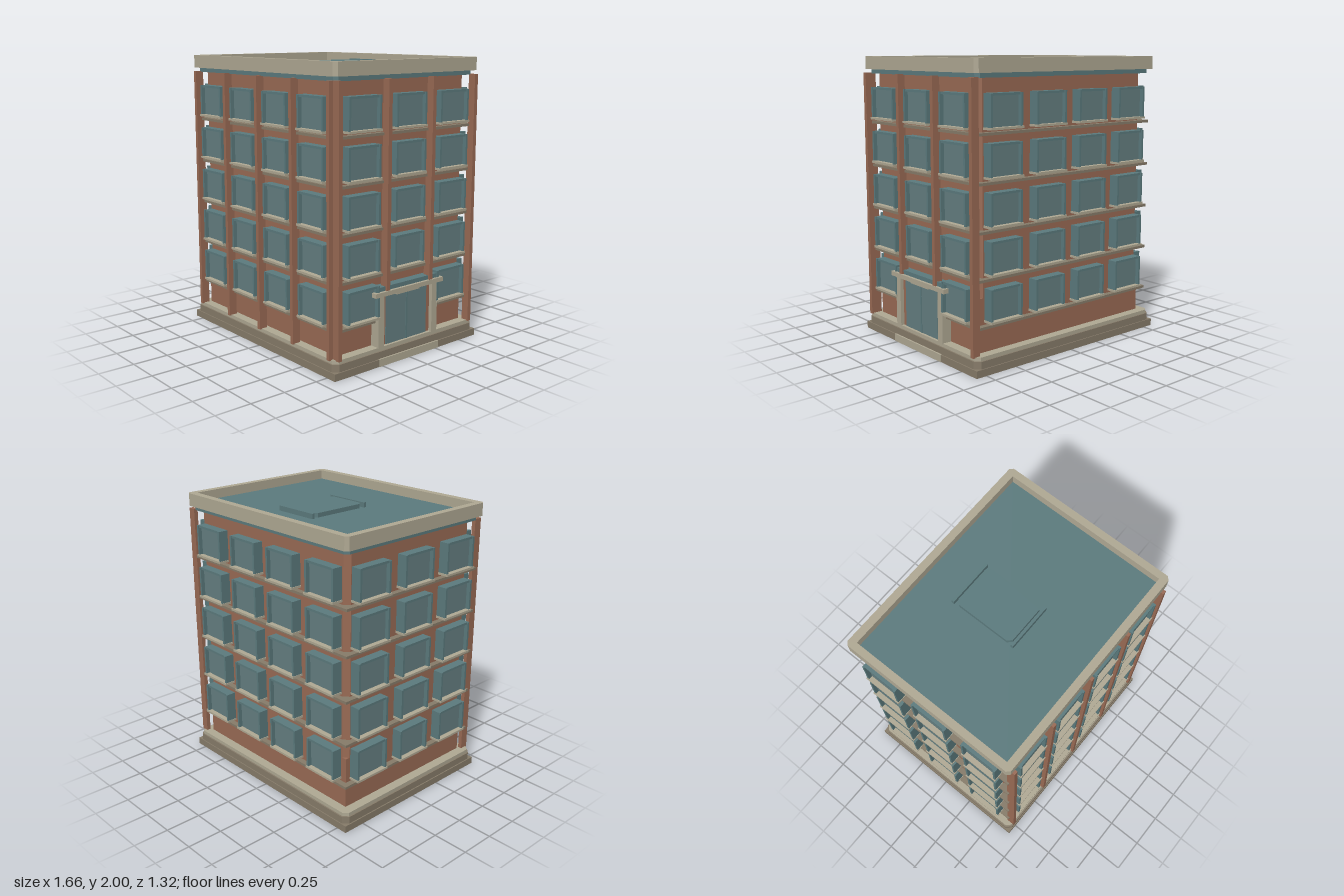
import * as THREE from 'three';

const mat = (name, color) => {
  const m = new THREE.MeshStandardMaterial({ color });
  m.name = name;
  return m;
};

export function createModel() {
  const brick = mat('brick', 0x9a6b55);
  const stone = mat('pale stone', 0xb0a994);
  const darkStone = mat('dark stone', 0x877c6a);
  const metal = mat('teal metal', 0x5c7b7e);
  const glass = mat('glass', 0x657f81);

  const model = new THREE.Group();
  model.name = 'building';

  const add = (parent, name, geometry, material) => {
    const mesh = new THREE.Mesh(geometry, material);
    mesh.name = name;
    parent.add(mesh);
    return mesh;
  };

  // Box given by its limits on each axis
  const box = (parent, name, material, [x0, x1], [y0, y1], [z0, z1]) => {
    const mesh = add(parent, name, new THREE.BoxGeometry(x1 - x0, y1 - y0, z1 - z0), material);
    mesh.position.set((x0 + x1) / 2, (y0 + y1) / 2, (z0 + z1) / 2);
    return mesh;
  };

  // Upright block with chamfered corners and an optional rectangular opening
  const block = (name, material, hx, hz, c, y0, y1, hole) => {
    const s = new THREE.Shape([
      [hx - c, -hz], [hx, c - hz], [hx, hz - c], [hx - c, hz],
      [c - hx, hz], [-hx, hz - c], [-hx, c - hz], [c - hx, -hz],
    ].map(([x, y]) => new THREE.Vector2(x, y)));
    if (hole) {
      const [a, b] = hole;
      s.holes.push(new THREE.Path([[-a, -b], [-a, b], [a, b], [a, -b]].map(([x, y]) => new THREE.Vector2(x, y))));
    }
    const g = new THREE.ExtrudeGeometry(s, { depth: y1 - y0, bevelEnabled: false });
    g.rotateX(-Math.PI / 2);
    g.translate(0, y0, 0);
    return add(model, name, g, material);
  };

  // Plinth
  box(model, 'plinthFoot', darkStone, [-0.83, 0.83], [0, 0.05], [-0.662, 0.662]);
  block('plinth', darkStone, 0.822, 0.655, 0.035, 0.05, 0.1);
  block('plinthCap', stone, 0.812, 0.645, 0.03, 0.1, 0.125);

  // Brick walls, square at the base and chamfered above
  const WX = 0.745, WZ = 0.58;
  box(model, 'lowerWalls', brick, [-WX, WX], [0.12, 0.485], [-WZ, WZ]);
  block('upperWalls', brick, WX, WZ, 0.034, 0.485, 1.89);

  // Floor bands
  const FLOOR = 0.309;
  for (let i = 0; i < 5; i++) {
    const y = 0.3 + i * FLOOR;
    box(model, 'floorBand', darkStone, [-0.785, 0.785], [y - 0.009, y + 0.009], [-0.62, 0.62]);
  }

  // Window facing +z, standing on the wall plane at z = 0
  const addWindow = (parent, x, y, w) => {
    const win = new THREE.Group();
    win.name = 'window';
    win.position.set(x, y, 0);
    parent.add(win);
    const h = w / 2, H = 0.226, t = 0.016;
    box(win, 'windowPane', glass, [-h + t, h - t], [0.015, H - t], [-0.005, 0.045]);
    for (const s of [-1, 1]) {
      const xs = [s * h, s * (h - t)].sort((a, b) => a - b);
      box(win, 'windowJamb', metal, xs, [0.012, H], [-0.005, 0.073]);
    }
    box(win, 'windowHead', metal, [-h + t, h - t], [H - t, H], [-0.005, 0.066]);
    box(win, 'windowSill', stone, [-h - 0.004, h + 0.004], [0, 0.015], [-0.005, 0.08]);
  };

  // Four walls of windows; the entrance takes one bay of the left wall
  const long = [-0.57, -0.19, 0.19, 0.57], short = [-0.405, 0, 0.405];
  const faces = [
    ['front', 0, WZ, long, 0.26],
    ['left', Math.PI / 2, WX, short, 0.272],
    ['back', Math.PI, WZ, long, 0.26],
    ['right', -Math.PI / 2, WX, short, 0.272],
  ];
  for (const [name, angle, distance, columns, width] of faces) {
    const face = new THREE.Group();
    face.name = name + 'Windows';
    face.rotation.y = angle;
    face.position.set(Math.sin(angle) * distance, 0, Math.cos(angle) * distance);
    model.add(face);
    for (const x of columns) {
      for (let i = 0; i < 5; i++) {
        if (name === 'left' && x === 0 && i === 0) continue;
        addWindow(face, x, 0.325 + i * FLOOR, width);
      }
    }
  }

  // Free-standing brick pilasters on the front and the entrance side
  for (const x of [-0.757, -0.381, 0, 0.379, 0.757]) {
    box(model, 'frontPilaster', brick, [x - 0.014, x + 0.014], [0.12, 1.885], [0.6, 0.66]);
  }
  for (const z of [-0.606, -0.2, 0.2, 0.613]) {
    const y0 = Math.abs(z) < 0.3 ? 0.5 : 0.12;
    box(model, 'sidePilaster', brick, [0.77, 0.825], [y0, 1.885], [z - 0.015, z + 0.015]);
  }

  // Entrance
  const entrance = new THREE.Group();
  entrance.name = 'entrance';
  model.add(entrance);
  box(entrance, 'doorSurround', brick, [0.74, 0.788], [0.12, 0.48], [-0.23, 0.23]);
  for (const s of [-1, 1]) {
    const z = s * 0.25, d = s * 0.098;
    box(entrance, 'entrancePost', stone, [0.74, 0.815], [0.12, 0.48], [z - 0.026, z + 0.026]);
    box(entrance, 'doorLeaf', glass, [0.78, 0.793], [0.125, 0.46], [d - 0.092, d + 0.092]);
  }
  box(entrance, 'doorMullion', metal, [0.78, 0.797], [0.125, 0.46], [-0.007, 0.007]);
  box(entrance, 'doorLight', stone, [0.78, 0.81], [0.458, 0.47], [-0.105, 0.105]);
  box(entrance, 'canopy', stone, [0.74, 0.83], [0.475, 0.506], [-0.315, 0.315]);
  box(entrance, 'canopyRoof', metal, [0.74, 0.81], [0.506, 0.535], [-0.295, 0.295]);
  box(entrance, 'doorstep', stone, [0.8, 0.834], [0, 0.052], [-0.278, 0.278]);

  // Frieze, parapet and roof
  block('frieze', metal, 0.78, 0.618, 0.025, 1.88, 1.91);
  block('parapet', stone, 0.808, 0.645, 0.022, 1.91, 2, [0.758, 0.592]);
  box(model, 'roof', metal, [-0.76, 0.76], [1.9, 1.935], [-0.594, 0.594]);

  // Roof hatch and its end rails
  block('roofHatch', metal, 0.16, 0.22, 0.028, 1.93, 1.965).position.z = -0.09;
  for (const z of [-0.328, 0.148]) {
    box(model, 'hatchRail', metal, [-0.167, 0.167], [1.93, 1.97], [z - 0.01, z + 0.01]);
  }

  return model;
}
